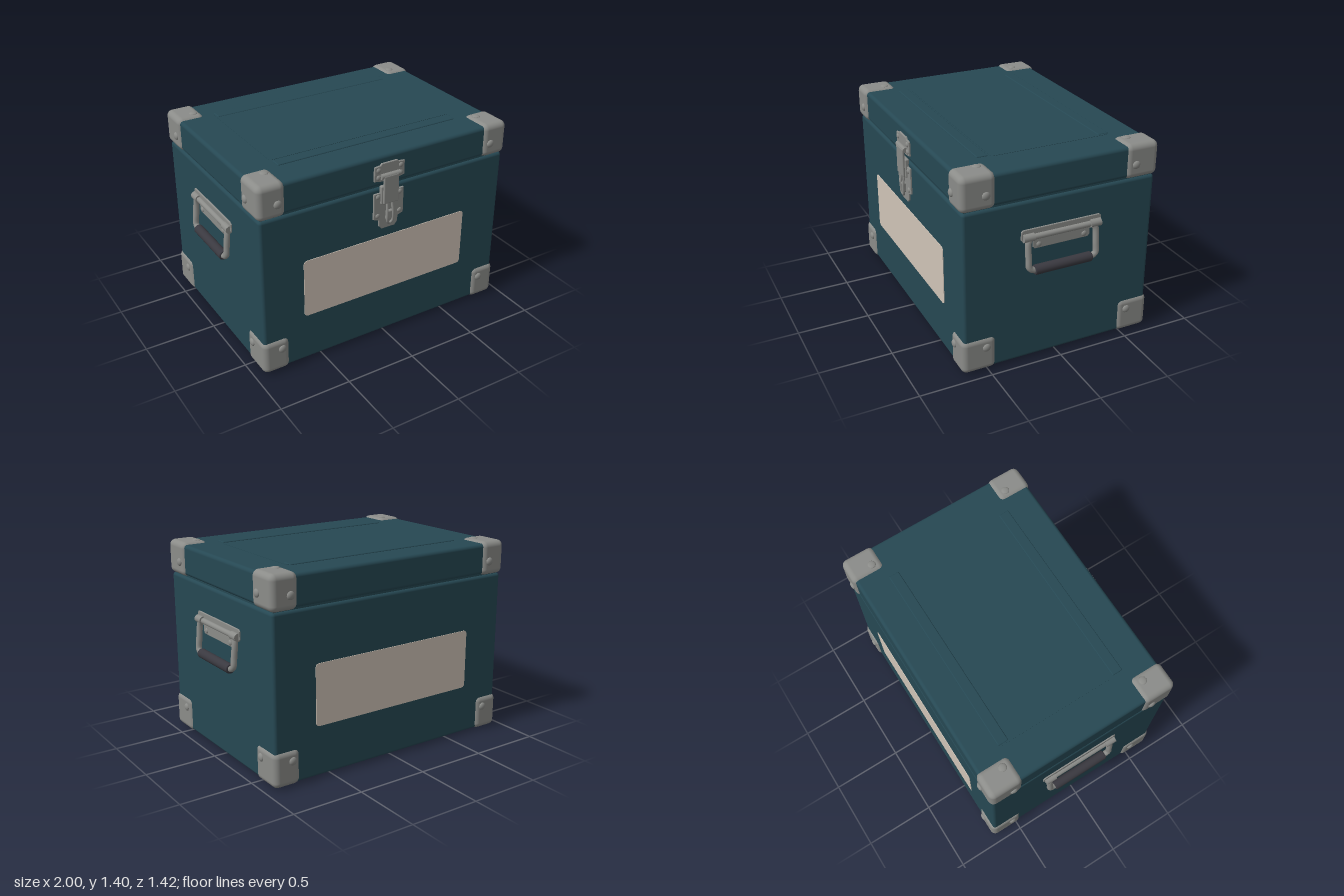
import * as THREE from 'three';
import { RoundedBoxGeometry } from 'three/addons/geometries/RoundedBoxGeometry.js';

const material = (name, color) => {
  const m = new THREE.MeshStandardMaterial({ color });
  m.name = name;
  return m;
};

export function createModel() {
  const teal = material('teal paint', 0x264853);
  const steel = material('grey steel', 0x8b8c89);
  const cream = material('cream label', 0xd0c4b7);
  const rubber = material('dark rubber', 0x3a3940);

  const model = new THREE.Group();
  model.name = 'storageCase';
  const ZC = -0.01; // middle of the case in z

  const add = (parent, name, geo, mat, x = 0, y = 0, z = 0) => {
    const mesh = new THREE.Mesh(geo, mat);
    mesh.name = name;
    mesh.position.set(x, y, z);
    parent.add(mesh);
    return mesh;
  };
  const group = (parent, name, x = 0, y = 0, z = 0) => {
    const g = new THREE.Group();
    g.name = name;
    g.position.set(x, y, z);
    parent.add(g);
    return g;
  };
  const rounded = (w, h, d, r) => new RoundedBoxGeometry(w, h, d, 4, r);

  // Flat plate cut from an outline, back on z = 0, facing +z
  const plate = (points, depth, bevel = 0.004) => {
    const shape = new THREE.Shape(points.map(([x, y]) => new THREE.Vector2(x, y)));
    return new THREE.ExtrudeGeometry(shape, {
      depth: depth - bevel, bevelEnabled: true, bevelThickness: bevel, bevelSize: bevel,
      bevelOffset: -bevel, bevelSegments: 2,
    });
  };
  // Rounded rectangle plate
  const roundPlate = (w, h, r, depth) => {
    const s = new THREE.Shape();
    const a = w / 2 - r, b = h / 2 - r;
    s.absarc(a, b, r, 0, Math.PI / 2);
    s.absarc(-a, b, r, Math.PI / 2, Math.PI);
    s.absarc(-a, -b, r, Math.PI, Math.PI * 1.5);
    s.absarc(a, -b, r, Math.PI * 1.5, Math.PI * 2);
    return new THREE.ExtrudeGeometry(s, { depth, bevelEnabled: false, curveSegments: 5 });
  };

  // Domed rivet head pointing along a direction
  const up = new THREE.Vector3(0, 1, 0);
  const dome = (parent, radius, height, pos, dir) => {
    const geo = new THREE.SphereGeometry(radius, 16, 6, 0, Math.PI * 2, 0, Math.PI / 2);
    geo.scale(1, height / radius, 1);
    const mesh = add(parent, 'rivet', geo, steel, ...pos);
    mesh.quaternion.setFromUnitVectors(up, new THREE.Vector3(...dir));
  };

  // Case body, recessed seam and lid
  add(model, 'body', rounded(1.866, 1.135, 1.35, 0.022), teal, 0, 0.5825, ZC);
  add(model, 'seam', new THREE.BoxGeometry(1.835, 0.06, 1.32), teal, 0, 1.155, ZC);
  add(model, 'lid', rounded(1.866, 0.212, 1.35, 0.024), teal, 0, 1.266, ZC);

  // Pressed panel and ribs on the lid
  const lidPanel = add(model, 'lidPanel', roundPlate(1.38, 0.83, 0.015, 0.003), teal, 0, 1.371, -0.055);
  lidPanel.rotation.x = -Math.PI / 2;
  for (const z of [-0.445, 0.412]) {
    add(model, 'lidRib', rounded(1.355, 0.02, 0.075, 0.007), teal, -0.003, 1.369, z);
  }

  // Labels on the front and back
  for (const s of [1, -1]) {
    const label = add(model, s > 0 ? 'frontLabel' : 'backLabel',
      roundPlate(1.26, 0.42, 0.025, 0.005), cream, -0.004, 0.57, ZC + s * 0.674);
    if (s < 0) label.rotation.y = Math.PI;
  }

  // Metal corner caps with three rivets each
  for (const sx of [1, -1]) for (const sz of [1, -1]) for (const top of [true, false]) {
    const corner = group(model, top ? 'lidCorner' : 'baseCorner', 0, 0, ZC);
    const [y0, y1] = top ? [1.15, 1.385] : [0.008, 0.252];
    add(corner, 'cap', rounded(0.194, y1 - y0, 0.238, 0.04), steel,
      sx * 0.848, (y0 + y1) / 2, sz * 0.571);
    const ry = top ? 1.247 : 0.178;
    dome(corner, 0.028, 0.016, [sx * 0.944, ry, sz * 0.523], [sx, 0, 0]);
    dome(corner, 0.028, 0.016, [sx * 0.81, ry, sz * 0.689], [0, 0, sz]);
    dome(corner, 0.028, 0.01, [sx * 0.81, top ? 1.384 : 0.009, sz * 0.523], [0, top ? 1 : -1, 0]);
  }

  // Front latch
  const latch = group(model, 'latch', -0.005, 0, 0.663);
  add(latch, 'upperPlate', plate([
    [-0.115, 1.205], [-0.115, 1.305], [-0.07, 1.31], [-0.06, 1.322], [0.06, 1.322],
    [0.07, 1.31], [0.115, 1.305], [0.115, 1.205], [0.06, 1.195], [-0.06, 1.195],
  ], 0.014), steel);
  add(latch, 'lowerPlate', plate([
    [-0.115, 0.93], [-0.115, 1.115], [0.115, 1.115], [0.115, 0.93], [0.075, 0.915],
    [0.07, 0.87], [0.05, 0.848], [-0.05, 0.848], [-0.07, 0.87], [-0.075, 0.915],
  ], 0.014), steel);
  for (const x of [-0.085, 0.085]) for (const y of [0.952, 1.09, 1.228, 1.28]) {
    dome(latch, 0.018, 0.01, [x, y, 0.013], [0, 0, 1]);
  }
  add(latch, 'lever', rounded(0.115, 0.2, 0.018, 0.008), steel, 0, 1.14, 0.033);
  add(latch, 'leverBase', rounded(0.135, 0.13, 0.03, 0.008), steel, 0, 1.1, 0.012);
  const hinge = add(latch, 'leverHinge', new THREE.CylinderGeometry(0.018, 0.018, 0.145, 14), steel, 0, 1.235, 0.022);
  hinge.rotation.z = Math.PI / 2;
  const loop = new THREE.CatmullRomCurve3([
    [-0.018, 1.05, 0.02], [-0.022, 0.96, 0.032], [-0.018, 0.9, 0.03], [0, 0.885, 0.025],
    [0.018, 0.9, 0.03], [0.022, 0.96, 0.032], [0.018, 1.05, 0.02],
  ].map((p) => new THREE.Vector3(...p)));
  add(latch, 'latchLoop', new THREE.TubeGeometry(loop, 32, 0.009, 8), steel);
  add(latch, 'keeper', rounded(0.05, 0.07, 0.03, 0.01), steel, 0, 0.945, 0.018);

  // Carrying handles, built facing +z and turned onto each side
  for (const s of [1, -1]) {
    const handle = group(model, s > 0 ? 'leftHandle' : 'rightHandle', s * 0.93, 0, -0.01);
    handle.rotation.y = s * Math.PI / 2;
    add(handle, 'mountPlate', plate([
      [-0.285, 0.89], [-0.285, 0.945], [-0.27, 0.958], [0.27, 0.958], [0.285, 0.945],
      [0.285, 0.89], [0.27, 0.875], [0.203, 0.87], [0.203, 0.83], [0.19, 0.815],
      [-0.19, 0.815], [-0.203, 0.83], [-0.203, 0.87], [-0.27, 0.875],
    ], 0.012), steel);
    const pivot = add(handle, 'pivotSleeve', new THREE.CylinderGeometry(0.02, 0.02, 0.41, 16), steel, 0, 0.903, 0.014);
    pivot.rotation.z = Math.PI / 2;
    for (const x of [-1, 1]) {
      dome(handle, 0.019, 0.01, [x * 0.162, 0.842, 0.011], [0, 0, 1]);
      const knuckle = add(handle, 'knuckle', new THREE.CylinderGeometry(0.027, 0.027, 0.075, 16), steel, x * 0.238, 0.905, 0.016);
      knuckle.rotation.z = Math.PI / 2;
    }
    const bail = new THREE.CatmullRomCurve3([
      [-0.225, 0.905, 0.016], [-0.24, 0.87, 0.02], [-0.242, 0.77, 0.03], [-0.238, 0.7, 0.037],
      [-0.205, 0.682, 0.038], [0, 0.68, 0.038], [0.205, 0.682, 0.038], [0.238, 0.7, 0.037],
      [0.242, 0.77, 0.03], [0.24, 0.87, 0.02], [0.225, 0.905, 0.016],
    ].map((p) => new THREE.Vector3(...p)));
    add(handle, 'bail', new THREE.TubeGeometry(bail, 72, 0.021, 10), steel);
    const grip = add(handle, 'grip', new THREE.LatheGeometry([
      [0, -0.205], [0.028, -0.205], [0.033, -0.198], [0.033, 0.198], [0.028, 0.205], [0, 0.205],
    ].map(([r, y]) => new THREE.Vector2(r, y)), 20), rubber, 0, 0.68, 0.037);
    grip.rotation.z = Math.PI / 2;
  }

  return model;
}
